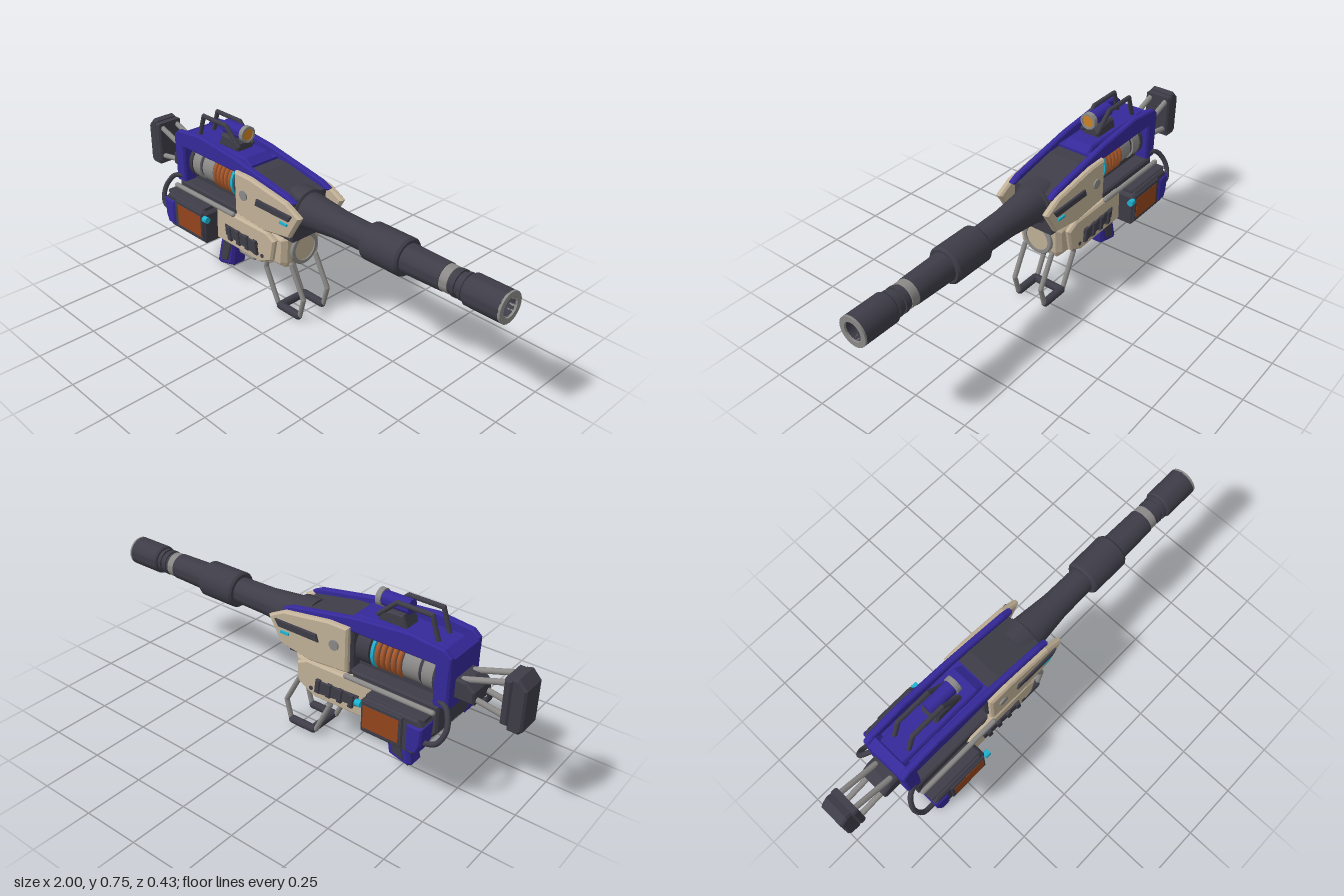
import * as THREE from 'three';
import { toCreasedNormals } from 'three/addons/utils/BufferGeometryUtils.js';

const mat = (name, color) => Object.assign(new THREE.MeshStandardMaterial({ color }), { name });
const purple = mat('purple', 0x35299a);
const dark = mat('charcoal', 0x3e3d48);
const cream = mat('cream', 0xc2b298);
const grey = mat('steel grey', 0x8b8a88);
const rust = mat('rust', 0x95451c);
const copper = mat('copper', 0xab5a2c);
const cyan = mat('cyan', 0x1cb4d4);
const orange = mat('lens orange', 0xd08322);
const AXIS = 0.5; // height of the barrel axis

export function createModel() {
  const model = new THREE.Group();
  model.name = 'blaster';

  const add = (name, geo, m, x = 0, y = 0, z = 0) => {
    const mesh = new THREE.Mesh(geo, m);
    mesh.name = name;
    mesh.position.set(x, y, z);
    model.add(mesh);
    return mesh;
  };
  // side profile in x/y, extruded in z around the centre zc to total thickness d
  const slab = (name, pts, zc, d, m, b = 0.008) => {
    const shape = new THREE.Shape(pts.map(p => new THREE.Vector2(...p)));
    const geo = new THREE.ExtrudeGeometry(shape, {
      depth: d - 2 * b, bevelEnabled: b > 0, bevelThickness: b, bevelSize: b, bevelOffset: -b, bevelSegments: 1,
    });
    geo.translate(0, 0, -d / 2 + b);
    return add(name, geo, m, 0, 0, zc);
  };
  const rect = (x0, x1, y0, y1) => [[x0, y0], [x1, y0], [x1, y1], [x0, y1]];
  // turned part along x from [x, radius] points
  const turned = (name, pts, m, y = AXIS, z = 0) => {
    const geo = new THREE.LatheGeometry(pts.map(([x, r]) => new THREE.Vector2(r, x)), 40);
    geo.rotateZ(-Math.PI / 2);
    return add(name, toCreasedNormals(geo, 0.5), m, 0, y, z);
  };
  const drum = (name, x0, x1, r, m, y = AXIS, z = 0) =>
    turned(name, [[x0, 0], [x0, r], [x1, r], [x1, 0]], m, y, z);
  // round bar through points, straight or curved
  const bar = (name, pts, r, m, curved = false) => {
    const v = pts.map(p => new THREE.Vector3(...p));
    if (curved) return add(name, new THREE.TubeGeometry(new THREE.CatmullRomCurve3(v), 24, r, 10), m);
    const group = new THREE.Group();
    group.name = name;
    v.forEach((p, i) => {
      const ball = new THREE.Mesh(new THREE.SphereGeometry(r, 10, 8), m);
      ball.position.copy(p);
      group.add(ball);
      if (i) group.add(new THREE.Mesh(new THREE.TubeGeometry(new THREE.LineCurve3(v[i - 1], p), 1, r, 10), m));
    });
    model.add(group);
  };
  const sides = fn => [1, -1].forEach(fn);

  // barrel
  turned('barrel', [[-0.05, 0], [-0.05, 0.088], [0.025, 0.088], [0.03, 0.077], [0.12, 0.068], [0.2, 0.06], [0.36, 0.057],
    [0.36, 0.071], [0.37, 0.078], [0.54, 0.078], [0.55, 0.071], [0.55, 0.06], [0.73, 0.056], [0.73, 0.05], [0.78, 0.05],
    [0.78, 0.055], [0.795, 0.055], [0.795, 0.048], [0.81, 0.048], [0.81, 0.055], [0.825, 0.055], [0.825, 0.05],
    [0.832, 0.05], [0.832, 0.058], [0.84, 0.063], [0.992, 0.063], [0.992, 0.04], [0.9, 0.04], [0.9, 0]], dark);
  drum('barrelBand', 0.73, 0.765, 0.0535, grey);
  turned('muzzleRing', [[0.99, 0.063], [1, 0.063], [1, 0.04], [0.97, 0.04]], grey);

  // core body
  slab('frontBody', [[-0.3, 0.38], [0.02, 0.38], [0.02, 0.565], [-0.2, 0.607], [-0.3, 0.607]], 0, 0.2, dark);
  slab('spine', rect(-0.7, -0.28, 0.4, 0.61), 0, 0.1, dark);
  slab('lowerChassis', [[-0.7, 0.3], [-0.66, 0.25], [-0.4, 0.25], [-0.3, 0.42], [-0.7, 0.42]], 0, 0.23, dark);
  slab('rearBlock', [[-0.73, 0.41], [-0.665, 0.41], [-0.665, 0.62], [-0.69, 0.645], [-0.73, 0.62]], 0, 0.22, purple);

  // energy cylinder seen through the side windows
  turned('cylinderShell', [[-0.67, 0.085], [-0.645, 0.085], [-0.645, 0.072], [-0.28, 0.072]], dark);
  drum('cylinderCap', -0.645, -0.595, 0.08, grey);
  drum('cylinderBand', -0.58, -0.51, 0.076, grey);
  for (let i = 0; i < 5; i++) {
    const ring = new THREE.TorusGeometry(0.074, 0.0105, 8, 32);
    add('coil', ring.rotateY(Math.PI / 2), copper, -0.495 + i * 0.025, AXIS);
  }
  drum('glowRing', -0.382, -0.37, 0.084, cyan);
  drum('cylinderEnd', -0.36, -0.29, 0.083, dark);

  // top cover and side rails
  slab('topCover', [[-0.73, 0.595], [-0.26, 0.595], [-0.26, 0.615], [-0.3, 0.64], [-0.69, 0.64], [-0.73, 0.62]], 0, 0.13, purple);
  slab('topDeck', rect(-0.72, -0.26, 0.588, 0.618), 0, 0.18, purple, 0.004);
  sides(s => slab('topRail', [[-0.73, 0.575], [-0.66, 0.585], [-0.3, 0.585], [-0.15, 0.575], [0.03, 0.558], [0.045, 0.57],
    [0, 0.592], [-0.32, 0.65], [-0.55, 0.672], [-0.7, 0.656], [-0.73, 0.63]], s * 0.096, 0.028, purple, 0.006));

  sides(s => {
    // upper side plate with slot, bolt and light
    slab('upperPlate', [[-0.295, 0.41], [-0.11, 0.395], [0.035, 0.42], [0.1, 0.53], [0.02, 0.572], [-0.2, 0.605], [-0.295, 0.605]],
      s * 0.117, 0.03, cream);
    slab('plateSlot', [[-0.16, 0.5], [0.04, 0.5], [0.06, 0.53], [-0.15, 0.532]], s * 0.134, 0.014, dark, 0.003);
    add('plateBolt', new THREE.CylinderGeometry(0.022, 0.022, 0.012, 20).rotateX(Math.PI / 2), grey, -0.235, 0.515, s * 0.132);
    add('plateLight', new THREE.BoxGeometry(0.042, 0.01, 0.009), cyan, 0.01, 0.48, s * 0.135);

    // lower side plate with ribbed grille
    slab('lowerPlate', [[-0.43, 0.24], [-0.14, 0.235], [-0.07, 0.27], [-0.05, 0.37], [-0.1, 0.395], [-0.41, 0.395], [-0.43, 0.37]],
      s * 0.12, 0.028, cream);
    slab('grille', [[-0.355, 0.285], [-0.16, 0.265], [-0.15, 0.325], [-0.36, 0.335]], s * 0.134, 0.014, dark, 0.003);
    for (let i = 0; i < 4; i++) {
      const x = -0.335 + i * 0.055;
      slab('grilleRib', [[x, 0.27], [x + 0.022, 0.27], [x + 0.014, 0.333], [x - 0.008, 0.333]], s * 0.138, 0.02, dark, 0.003);
    }
    add('plateScrew', new THREE.CylinderGeometry(0.009, 0.009, 0.01, 12).rotateX(Math.PI / 2), dark, -0.125, 0.275, s * 0.132);

    // side power pod
    slab('pod', [[-0.68, 0.27], [-0.66, 0.237], [-0.42, 0.237], [-0.415, 0.375], [-0.44, 0.395], [-0.67, 0.395], [-0.69, 0.37]],
      s * 0.162, 0.086, dark);
    slab('podFrame', rect(-0.61, -0.425, 0.25, 0.385), s * 0.205, 0.014, dark, 0.004);
    add('podPanel', new THREE.BoxGeometry(0.16, 0.1, 0.009), rust, -0.515, 0.318, s * 0.209);
    slab('podRearCap', [[-0.69, 0.29], [-0.675, 0.25], [-0.625, 0.25], [-0.625, 0.37], [-0.695, 0.37]], s * 0.17, 0.084, purple);
    slab('podTopStrip', rect(-0.69, -0.43, 0.385, 0.4), s * 0.165, 0.05, dark, 0.004);
    drum('podLight', -0.42, -0.395, 0.014, cyan, 0.36, s * 0.203);
    bar('sideRod', [[-0.69, 0.405, s * 0.14], [-0.3, 0.405, s * 0.14]], 0.011, grey);
    bar('cable', [[-0.69, 0.44, s * 0.1], [-0.735, 0.43, s * 0.12], [-0.762, 0.37, s * 0.155], [-0.74, 0.315, s * 0.18],
      [-0.68, 0.29, s * 0.18]], 0.011, dark, true);

    // carrying handle
    bar('carryHandle', [[-0.635, 0.63, s * 0.038], [-0.6, 0.733, s * 0.038], [-0.45, 0.733, s * 0.038], [-0.37, 0.66, s * 0.038]], 0.01, dark);

    // stock struts
    bar('upperStrut', [[-0.93, 0.585, s * 0.04], [-0.75, 0.525, s * 0.04]], 0.012, grey);
    bar('lowerStrut', [[-0.93, 0.44, s * 0.04], [-0.78, 0.465, s * 0.04]], 0.012, grey);

    // front hand loop
    const z = s * 0.07;
    bar('handLoop', [[-0.15, 0.25, z], [-0.175, 0.18, z], [-0.1, 0.022, z], [0.035, 0.022, z], [0.058, 0.11, z], [-0.015, 0.25, z]], 0.011, grey);
    bar('loopGrip', [[-0.085, 0.018, z], [0.025, 0.018, z]], 0.018, dark);
  });
  bar('loopCrossbar', [[-0.085, 0.018, -0.07], [-0.085, 0.018, 0.07]], 0.018, dark);

  // lower body and nose
  slab('lowerBody', [[-0.42, 0.25], [-0.1, 0.24], [-0.1, 0.39], [-0.42, 0.39]], 0, 0.235, cream);
  slab('nose', [[-0.16, 0.235], [-0.03, 0.24], [-0.02, 0.265], [-0.015, 0.375], [-0.03, 0.39], [-0.16, 0.39]], 0, 0.215, cream, 0.02);
  turned('noseRing', [[-0.05, 0.074], [-0.008, 0.074], [-0.004, 0.07], [-0.004, 0.056], [-0.03, 0.056]], grey, 0.31);
  drum('noseDisc', -0.04, -0.01, 0.056, cream, 0.31);

  // pistol grip and trigger guard
  slab('grip', [[-0.555, 0.035], [-0.535, 0.022], [-0.445, 0.045], [-0.41, 0.26], [-0.5, 0.26], [-0.52, 0.17]], 0, 0.086, purple, 0.012);
  slab('gripInset', [[-0.52, 0.05], [-0.47, 0.065], [-0.425, 0.205], [-0.485, 0.21], [-0.5, 0.16]], 0, 0.098, dark, 0.005);
  bar('triggerGuard', [[-0.39, 0.25, 0.045], [-0.37, 0.158, 0.045], [-0.28, 0.158, 0.045], [-0.27, 0.25, 0.045]], 0.008, grey);

  // sight
  slab('sightMount', [[-0.5, 0.635], [-0.37, 0.635], [-0.37, 0.67], [-0.42, 0.69], [-0.48, 0.69]], 0, 0.088, dark);
  drum('sightTube', -0.49, -0.36, 0.03, purple, 0.712);
  turned('sightRing', [[-0.37, 0.03], [-0.37, 0.036], [-0.348, 0.036], [-0.348, 0.026], [-0.362, 0.026]], grey, 0.712);
  drum('sightLens', -0.365, -0.352, 0.026, orange, 0.712);

  // stock
  slab('stockMount', [[-0.81, 0.445], [-0.72, 0.445], [-0.72, 0.53], [-0.77, 0.53], [-0.81, 0.5]], 0, 0.13, dark);
  slab('buttPad', [[-1, 0.41], [-0.985, 0.395], [-0.94, 0.395], [-0.94, 0.61], [-0.965, 0.617], [-1, 0.58]], 0, 0.115, dark);
  slab('buttPlate', rect(-0.945, -0.913, 0.415, 0.605), 0, 0.125, dark);

  return model;
}
